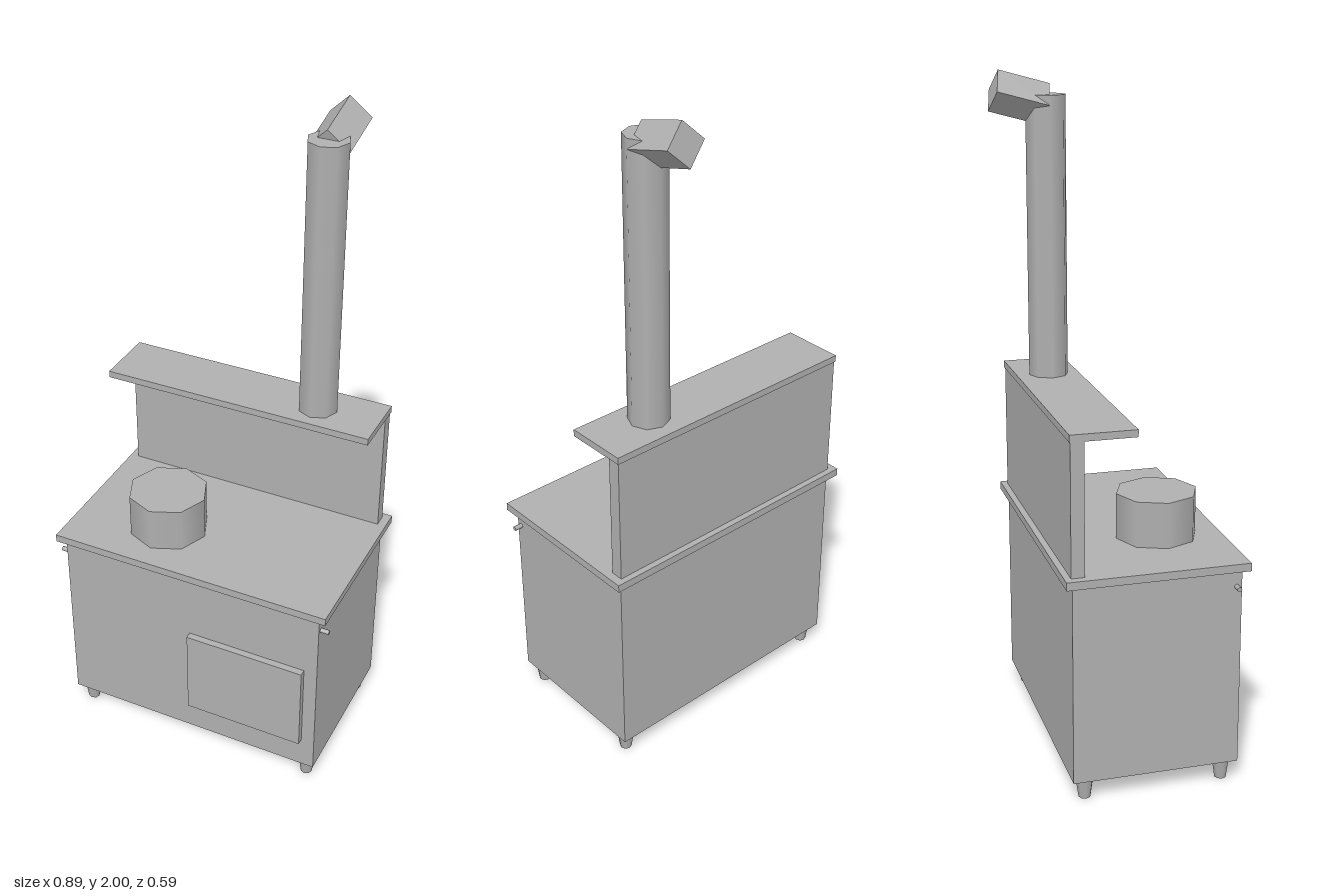
import * as THREE from 'three';

export function createModel() {
  const group = new THREE.Group();
  const iron = new THREE.MeshStandardMaterial({ color: 0xb0b0b0 });
  iron.name = 'greyIron';

  function add(name, geometry, x, y, z) {
    const mesh = new THREE.Mesh(geometry, iron);
    mesh.name = name;
    mesh.position.set(x, y, z);
    group.add(mesh);
    return mesh;
  }

  // Box given by its lower and upper limits on each axis
  function box(name, [x0, x1], [y0, y1], [z0, z1]) {
    return add(name, new THREE.BoxGeometry(x1 - x0, y1 - y0, z1 - z0),
      (x0 + x1) / 2, (y0 + y1) / 2, (z0 + z1) / 2);
  }

  // Stove body, oven door, cooking top and warming shelf
  box('body', [-0.417, 0.417], [0.063, 0.664], [-0.219, 0.273]);
  box('ovenDoor', [0, 0.376], [0.165, 0.45], [0.27, 0.294]);
  box('cookTop', [-0.442, 0.442], [0.664, 0.688], [-0.241, 0.291]);
  box('backPanel', [-0.417, 0.417], [0.688, 1.075], [-0.222, -0.183]);
  box('shelf', [-0.42, 0.42], [1.075, 1.096], [-0.225, -0.034]);

  // Tapered feet
  for (const x of [-0.381, 0.381]) {
    for (const z of [-0.178, 0.234]) {
      add('foot', new THREE.CylinderGeometry(0.027, 0.018, 0.065, 8), x, 0.0325, z);
    }
  }

  // Short pegs on both sides
  for (const side of [-1, 1]) {
    const peg = add('sidePeg', new THREE.CylinderGeometry(0.007, 0.007, 0.03, 8),
      side * 0.428, 0.612, 0.257);
    peg.rotation.z = Math.PI / 2;
  }

  // Pot on the cooking top
  add('pot', new THREE.CylinderGeometry(0.121, 0.121, 0.137, 8), -0.154, 0.7565, 0.101);

  // Chimney pipe with a square outlet set on edge and tilted to the back
  add('chimney', new THREE.CylinderGeometry(0.06, 0.06, 0.834, 8), 0.228, 1.513, -0.126);
  const outletGeometry = new THREE.CylinderGeometry(0.0605, 0.0605, 0.157, 4).toNonIndexed();
  outletGeometry.computeVertexNormals();
  const outlet = add('chimneyOutlet', outletGeometry, 0.228, 1.922, -0.204);
  outlet.rotation.x = -Math.PI / 2 + Math.PI / 12;

  return group;
}
